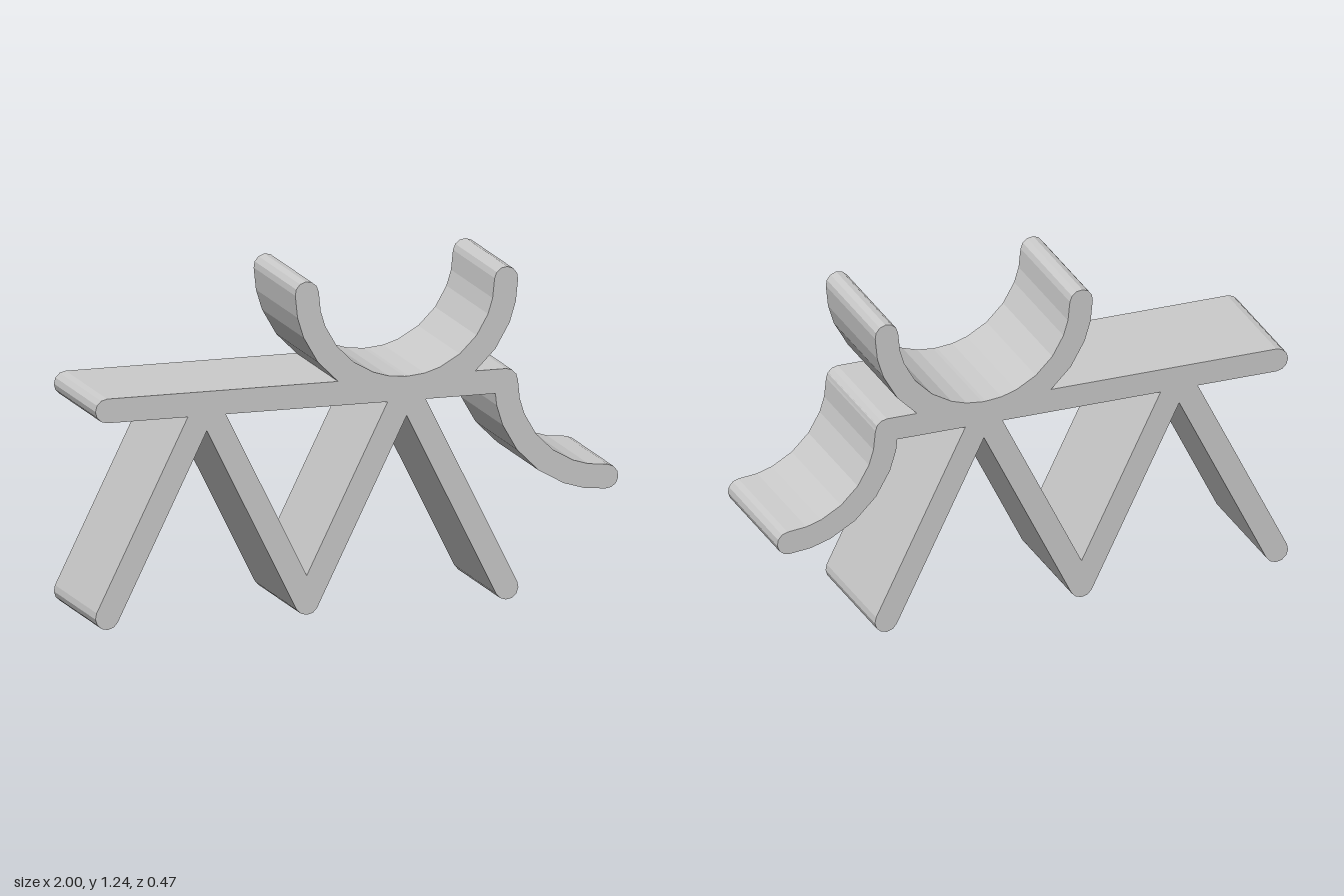
import * as THREE from 'three';

const R = 0.045;      // half thickness of every bar
const DEPTH = 0.475;  // width of the extruded profile
const CAP_STEPS = 6;

// Closed outline of a mitred stroke with rounded ends along a list of points
function strokeShape(pts) {
  const dir = (a, b) => b.clone().sub(a).normalize();
  const last = pts.length - 1;
  const right = [], left = [];
  for (let i = 1; i < last; i++) {
    const d0 = dir(pts[i - 1], pts[i]), d1 = dir(pts[i], pts[i + 1]);
    const t = d0.clone().add(d1).normalize();
    const n = new THREE.Vector2(t.y, -t.x).multiplyScalar(R / t.dot(d0));
    right.push(pts[i].clone().add(n));
    left.unshift(pts[i].clone().sub(n));
  }
  const cap = (p, d) => {
    const start = Math.atan2(d.y, d.x) - Math.PI / 2;
    return Array.from({ length: CAP_STEPS + 1 }, (_, k) => {
      const a = start + (Math.PI * k) / CAP_STEPS;
      return new THREE.Vector2(p.x + R * Math.cos(a), p.y + R * Math.sin(a));
    });
  };
  return new THREE.Shape([
    ...right,
    ...cap(pts[last], dir(pts[last - 1], pts[last])),
    ...left,
    ...cap(pts[0], dir(pts[1], pts[0])),
  ]);
}

// Points of a faceted arc, angles in degrees
function arc(cx, cy, r, angles) {
  return angles.map((deg) => {
    const a = THREE.MathUtils.degToRad(deg);
    return new THREE.Vector2(cx + r * Math.cos(a), cy + r * Math.sin(a));
  });
}

export function createModel() {
  const model = new THREE.Group();
  model.name = 'benchProfile';
  const grey = new THREE.MeshStandardMaterial({ color: 0xcccccc });
  grey.name = 'light grey';

  const addStroke = (name, pts) => {
    const geo = new THREE.ExtrudeGeometry(strokeShape(pts), { depth: DEPTH, bevelEnabled: false });
    geo.translate(0, 0, -DEPTH / 2);
    const mesh = new THREE.Mesh(geo, grey);
    mesh.name = name;
    model.add(mesh);
  };
  const v = (x, y) => new THREE.Vector2(x, y);

  // Flat top
  addStroke('topBoard', [v(-0.955, 0.815), v(0.57, 0.815)]);

  // Zigzag legs
  const feet = [-0.955, -0.192, 0.572], tops = [-0.574, 0.19];
  tops.forEach((x, i) => {
    addStroke(`legRising${i + 1}`, [v(feet[i], 0.045), v(x, 0.815)]);
    addStroke(`legFalling${i + 1}`, [v(x, 0.815), v(feet[i + 1], 0.045)]);
  });

  // Half-round cradle above and quarter-round lip at the end
  const quarter = [0, 11.8, 22.3, 37.2, 52.8, 67.7, 78.2, 90];
  const half = [...quarter, ...quarter.slice(1).map((a) => a + 90)];
  addStroke('cradle', arc(0.19, 1.195, 0.381, half.map((a) => 180 + a)));
  addStroke('curvedLip', arc(0.954, 0.814, 0.384, quarter.map((a) => 180 + a)));

  return model;
}
